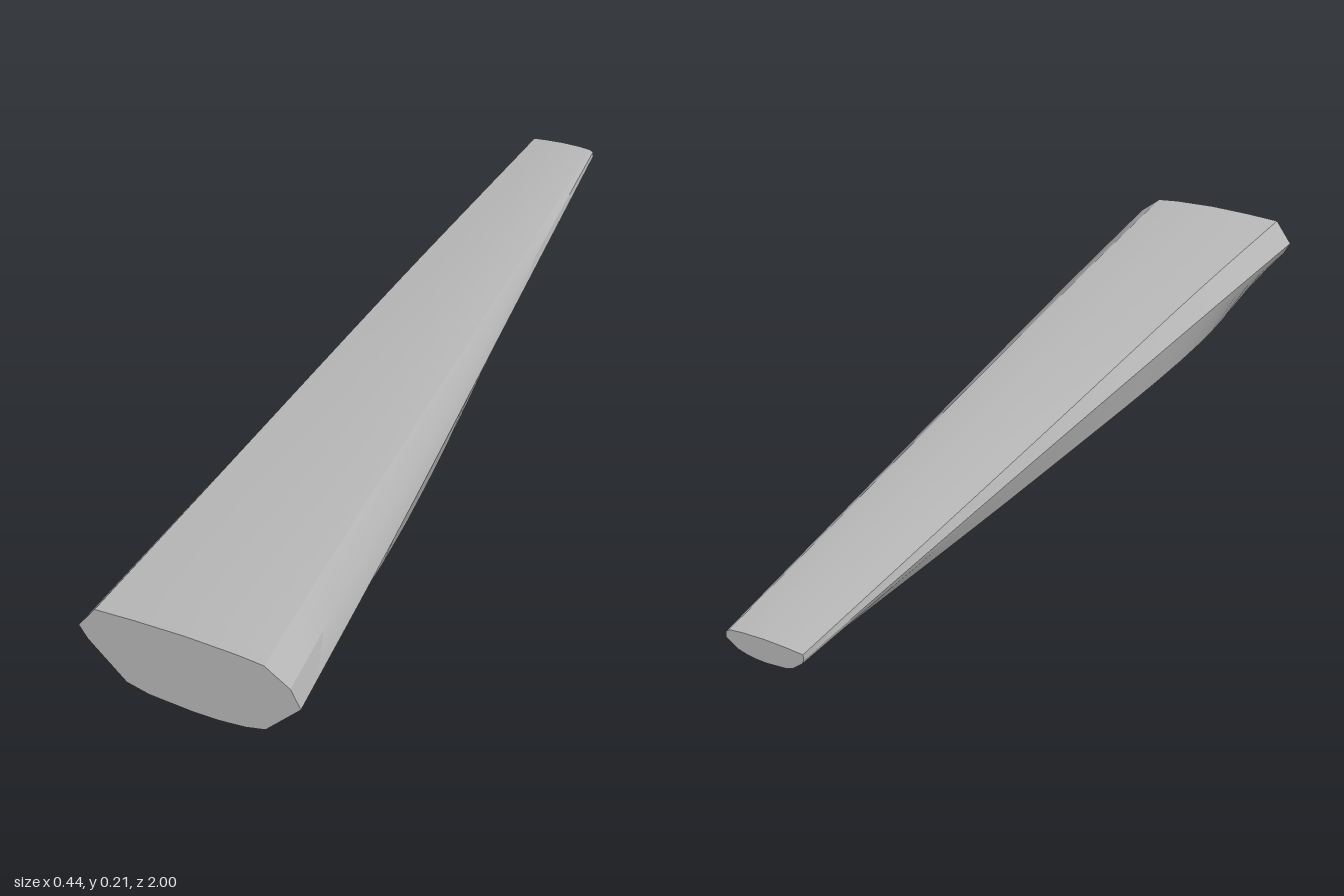
import * as THREE from 'three';
import { toCreasedNormals } from 'three/addons/utils/BufferGeometryUtils.js';

// Cross-sections from the wide front end to the narrow back end. Each lists
// the same 15 corners: over the crown, down the +x side, under the belly, up -x.
const SECTIONS = [
  { z: 1, points: [
    [-0.18, 0.2], [-0.1, 0.205], [0, 0.208], [0.1, 0.205], [0.152, 0.2],
    [0.2, 0.162], [0.218, 0.118], [0.145, 0.032], [0.105, 0.02], [0.05, 0.013],
    [0, 0.012], [-0.09, 0.018], [-0.135, 0.031], [-0.205, 0.115], [-0.22, 0.145]] },
  { z: 0.55, points: [
    [-0.156, 0.182], [-0.09, 0.186], [0, 0.188], [0.09, 0.186], [0.135, 0.182],
    [0.175, 0.15], [0.193, 0.11], [0.173, 0.045], [0.105, 0.011], [0.05, 0.002],
    [0, 0], [-0.09, 0.009], [-0.163, 0.04], [-0.183, 0.11], [-0.189, 0.135]] },
  { z: -0.2, points: [
    [-0.122, 0.142], [-0.07, 0.146], [0, 0.149], [0.07, 0.147], [0.108, 0.142],
    [0.133, 0.12], [0.142, 0.098], [0.125, 0.05], [0.08, 0.022], [0.04, 0.014],
    [0, 0.012], [-0.07, 0.018], [-0.118, 0.045], [-0.132, 0.095], [-0.136, 0.113]] },
  { z: -1, points: [
    [-0.079, 0.095], [-0.045, 0.098], [0, 0.1], [0.045, 0.099], [0.075, 0.096],
    [0.083, 0.09], [0.085, 0.078], [0.06, 0.06], [0.04, 0.054], [0.02, 0.051],
    [0, 0.05], [-0.04, 0.053], [-0.055, 0.058], [-0.076, 0.075], [-0.08, 0.085]] },
];
const STEPS = 18;

function buildBeam() {
  const n = SECTIONS[0].points.length;
  // One smooth lengthwise curve through each matching corner
  const rails = SECTIONS[0].points.map((_, i) => new THREE.CatmullRomCurve3(
    SECTIONS.map((s) => new THREE.Vector3(s.points[i][0], s.points[i][1], s.z))));

  const positions = [];
  const index = [];
  for (let k = 0; k <= STEPS; k++) {
    for (const rail of rails) positions.push(...rail.getPoint(k / STEPS).toArray());
  }
  // Skin between neighbouring rings
  for (let k = 0; k < STEPS; k++) {
    for (let i = 0; i < n; i++) {
      const a = k * n + i;
      const b = k * n + (i + 1) % n;
      index.push(a, b, a + n, b, b + n, a + n);
    }
  }
  // Flat end caps
  const back = STEPS * n;
  for (let i = 1; i < n - 1; i++) {
    index.push(0, i + 1, i, back, back + i, back + i + 1);
  }
  const geometry = new THREE.BufferGeometry();
  geometry.setAttribute('position', new THREE.Float32BufferAttribute(positions, 3));
  geometry.setIndex(index);
  return toCreasedNormals(geometry, 0.5);
}

export function createModel() {
  const grey = new THREE.MeshStandardMaterial({ color: 0xb8b8b8 });
  grey.name = 'light grey';
  const beam = new THREE.Mesh(buildBeam(), grey);
  beam.name = 'taperedBeam';
  const group = new THREE.Group();
  group.name = 'taperedBeamModel';
  group.add(beam);
  return group;
}
